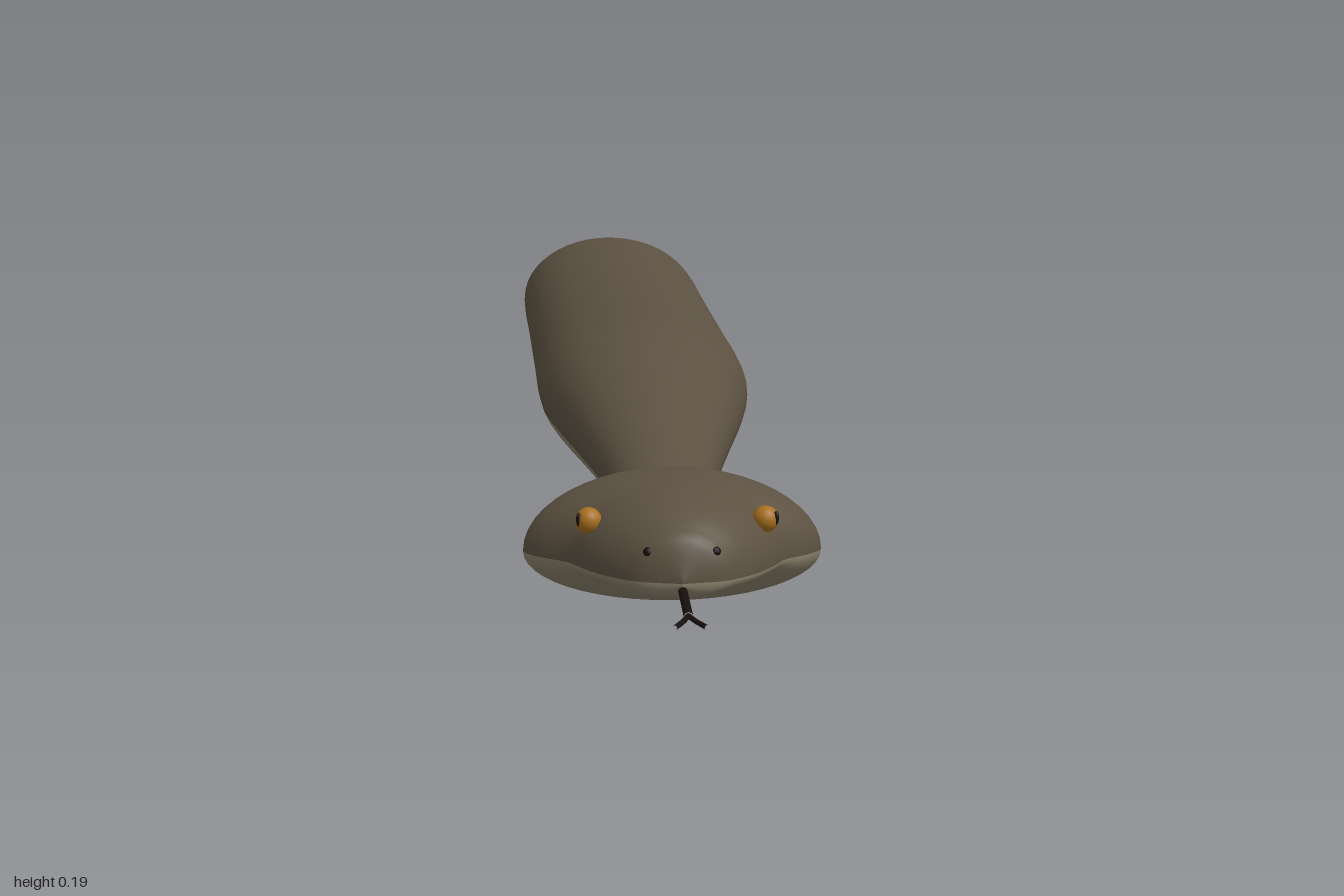
import * as THREE from 'three';

const mat = (name, color, extra = {}) =>
  Object.assign(new THREE.MeshStandardMaterial({ color, ...extra }), { name });

// Smooth loft of oval rings along z; each station is [z, halfWidth, top, widest, bottom].
// Ring segments below the seam angle use the second material.
function loft(stations, steps, seam) {
  const N = 48;
  const times = stations.map(s => s[0]);
  const spline = new THREE.CubicInterpolant(times, stations.flatMap(s => s.slice(1)), 4, new Float32Array(4));
  const z0 = times[0], z1 = times[times.length - 1];
  const pos = [], back = [], belly = [];
  for (let i = 0; i <= steps; i++) {
    // steps bunch up toward both ends so the tips stay round
    const t = i / steps, u = 0.5 * t + 0.25 * (1 - Math.cos(Math.PI * t));
    const z = z0 + (z1 - z0) * u;
    const [w, top, mid, bottom] = spline.evaluate(z);
    for (let j = 0; j < N; j++) {
      const a = (j / N) * Math.PI * 2, s = Math.sin(a);
      pos.push(Math.max(w, 0) * Math.cos(a), mid + s * (s > 0 ? top - mid : mid - bottom), z);
    }
  }
  for (let i = 0; i < steps; i++) {
    for (let j = 0; j < N; j++) {
      const k = (j + 1) % N, a = i * N + j, b = i * N + k, c = a + N, d = b + N;
      const isBelly = j >= N / 2 + seam && j < N - seam;
      (isBelly ? belly : back).push(a, b, c, b, d, c);
    }
  }
  const g = new THREE.BufferGeometry();
  g.setAttribute('position', new THREE.Float32BufferAttribute(pos, 3));
  g.setIndex([...back, ...belly]);
  g.addGroup(0, back.length, 0);
  g.addGroup(back.length, belly.length, 1);
  g.computeVertexNormals();
  return g;
}

export function createModel() {
  const model = new THREE.Group();
  model.name = 'snake';
  const backMat = mat('brownScales', 0x5c5141);
  const bellyMat = mat('paleBelly', 0x89816b);
  const eyeMat = mat('amberEye', 0xa8701f);
  const darkMat = mat('darkDetail', 0x17100d);

  const add = (name, geo, material, x = 0, y = 0, z = 0) => {
    const m = new THREE.Mesh(geo, material);
    m.name = name;
    m.position.set(x, y, z);
    model.add(m);
    return m;
  };

  // Body: [z, halfWidth, top, bottom], widest halfway up
  const body = [
    [-0.91, 0.004, 0.053, 0.046], [-0.88, 0.012, 0.057, 0.046], [-0.8, 0.03, 0.08, 0.046],
    [-0.7, 0.053, 0.119, 0.046], [-0.6, 0.075, 0.155, 0.046], [-0.52, 0.093, 0.181, 0.046],
    [-0.46, 0.103, 0.191, 0.046], [-0.41, 0.105, 0.193, 0.046], [-0.2, 0.105, 0.193, 0.046],
    [0.1, 0.105, 0.193, 0.046], [0.29, 0.105, 0.193, 0.046], [0.34, 0.103, 0.191, 0.046],
    [0.4, 0.094, 0.181, 0.046], [0.5, 0.073, 0.152, 0.046], [0.6, 0.053, 0.122, 0.046],
    [0.67, 0.042, 0.102, 0.046], [0.74, 0.038, 0.09, 0.046],
  ].map(([z, w, t, b]) => [z, w, t, (t + b) / 2, b]);
  add('body', loft(body, 90, 2), [backMat, bellyMat]);

  // Head: broad jaw at the back, blunt snout
  const head = [
    [0.695, 0, 0.068, 0.066, 0.064], [0.702, 0.036, 0.088, 0.062, 0.044],
    [0.715, 0.075, 0.105, 0.056, 0.028], [0.735, 0.115, 0.116, 0.051, 0.012],
    [0.765, 0.131, 0.119, 0.048, 0.003], [0.79, 0.12, 0.118, 0.048, 0.01],
    [0.815, 0.095, 0.115, 0.048, 0.024], [0.84, 0.083, 0.11, 0.048, 0.029],
    [0.865, 0.067, 0.102, 0.047, 0.03], [0.885, 0.049, 0.091, 0.047, 0.031],
    [0.898, 0.031, 0.078, 0.047, 0.034], [0.906, 0, 0.05, 0.047, 0.044],
  ];
  add('head', loft(head, 48, 0), [backMat, bellyMat]);

  // Eyes with slit pupils, and nostrils
  for (const side of [1, -1]) {
    const label = side > 0 ? 'left' : 'right';
    add(label + 'Eye', new THREE.SphereGeometry(0.0115, 20, 14), eyeMat, side * 0.076, 0.087, 0.83);
    const pupil = add(label + 'Pupil', new THREE.SphereGeometry(0.006, 12, 8), darkMat, side * 0.0846, 0.089, 0.836);
    pupil.scale.set(0.4, 1, 0.35);
    pupil.rotation.y = -side * 0.6;
    add(label + 'Nostril', new THREE.SphereGeometry(0.005, 12, 8), darkMat, side * 0.028, 0.071, 0.891);
  }

  // Forked tongue
  const tube = (name, pts, r) => add(name, new THREE.TubeGeometry(
    new THREE.CatmullRomCurve3(pts.map(p => new THREE.Vector3(...p))), 12, r, 8), darkMat);
  tube('tongue', [[0, 0.043, 0.88], [0, 0.038, 0.93], [0, 0.034, 0.972]], 0.004);
  for (const side of [1, -1]) {
    tube('tongueFork', [[0, 0.034, 0.968], [side * 0.005, 0.033, 0.984], [side * 0.013, 0.031, 0.999]], 0.0022);
  }

  // Thin tail tip
  const tip = add('tailTip', new THREE.CylinderGeometry(0.0025, 0.004, 0.1, 10), backMat, 0, 0.0495, -0.95);
  tip.rotation.x = -Math.PI / 2;

  return model;
}
